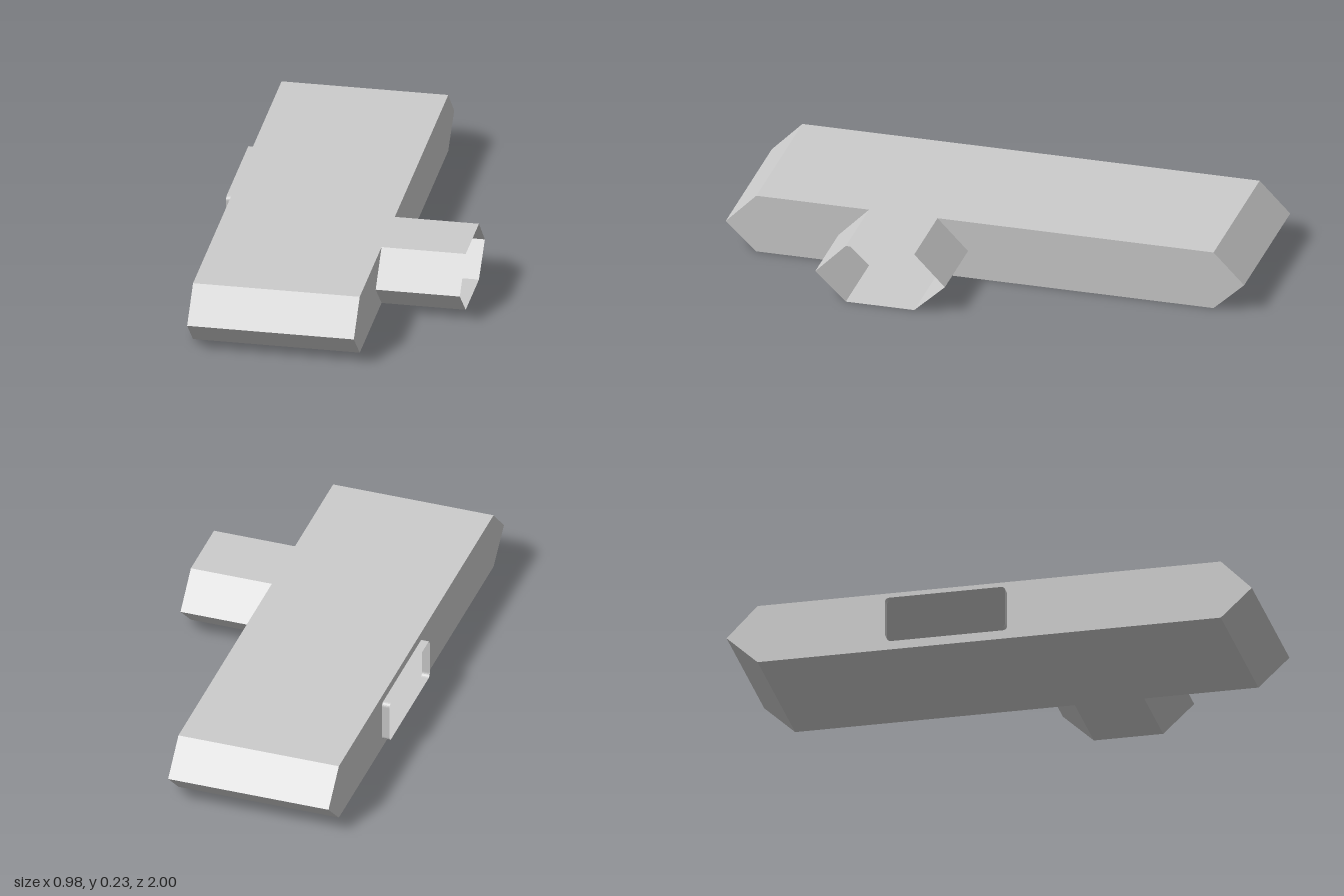
import * as THREE from 'three';

const MID = 0.11, TOP = 0.23;
const material = new THREE.MeshStandardMaterial({
  color: 0xcccccc, flatShading: true, side: THREE.DoubleSide,
});

// Profiles are drawn in the (z, y) plane, counter-clockwise.
const pts = (list) => list.map(([z, y]) => new THREE.Vector2(z, y));

// Six-sided section with pointed ends at z = a and z = b.
const hexagon = (a, b) => pts([
  [a, MID], [a + 0.118, 0], [b - 0.118, 0], [b, MID], [b - 0.118, TOP], [a + 0.118, TOP],
]);

function addMesh(group, name, geometry) {
  const mesh = new THREE.Mesh(geometry, material);
  mesh.name = name;
  group.add(mesh);
}

// Open sleeve that sweeps a closed profile along x.
function sleeve(profile, xLow, xHigh) {
  const pos = [];
  profile.forEach((p, i) => {
    const q = profile[(i + 1) % profile.length];
    pos.push(
      xHigh, p.y, p.x, xHigh, q.y, q.x, xLow, q.y, q.x,
      xHigh, p.y, p.x, xLow, q.y, q.x, xLow, p.y, p.x,
    );
  });
  const geometry = new THREE.BufferGeometry();
  geometry.setAttribute('position', new THREE.Float32BufferAttribute(pos, 3));
  geometry.computeVertexNormals();
  return geometry;
}

// Flat wall at a given x, facing outward.
function wall(profile, x, hole) {
  const shape = new THREE.Shape(profile);
  if (hole) shape.holes.push(new THREE.Path(hole));
  const geometry = new THREE.ShapeGeometry(shape).rotateY(-Math.PI / 2).translate(x, 0, 0);
  if (x > 0) { // turn the faces round
    const index = geometry.index.array;
    for (let i = 0; i < index.length; i += 3) [index[i], index[i + 1]] = [index[i + 1], index[i]];
    geometry.computeVertexNormals();
  }
  return geometry;
}

// Rectangle with rounded corners.
function roundedRect(z0, z1, y0, y1, r, steps = 6) {
  const corners = [[z1 - r, y1 - r], [z0 + r, y1 - r], [z0 + r, y0 + r], [z1 - r, y0 + r]];
  return pts(corners.flatMap(([z, y], c) =>
    Array.from({ length: steps + 1 }, (_, i) => {
      const a = (c + i / steps) * Math.PI / 2;
      return [z + r * Math.cos(a), y + r * Math.sin(a)];
    })));
}

export function createModel() {
  const model = new THREE.Group();
  model.name = 'hollowCorridor';
  const xRight = -0.46, xLeft = 0.17;
  const body = hexagon(-1, 1), arm = hexagon(0.065, 0.565);
  const opening = roundedRect(-0.39, 0.068, 0.034, 0.198, 0.016);

  // Long hollow body
  addMesh(model, 'bodyShell', sleeve(body, xRight, xLeft));
  addMesh(model, 'rightWall', wall(body, xRight, opening));

  // Left wall, in two pieces on either side of the arm
  addMesh(model, 'leftWallBack', wall([body[0], body[1], arm[1], arm[0], arm[5], body[5]], xLeft));
  addMesh(model, 'leftWallFront', wall([arm[2], body[2], body[3], body[4], arm[4], arm[3]], xLeft));

  // Open side arm and doorway rim
  addMesh(model, 'sideArm', sleeve(arm, xLeft, 0.488));
  addMesh(model, 'doorwayRim', sleeve(opening, -0.49, xRight));
  return model;
}
